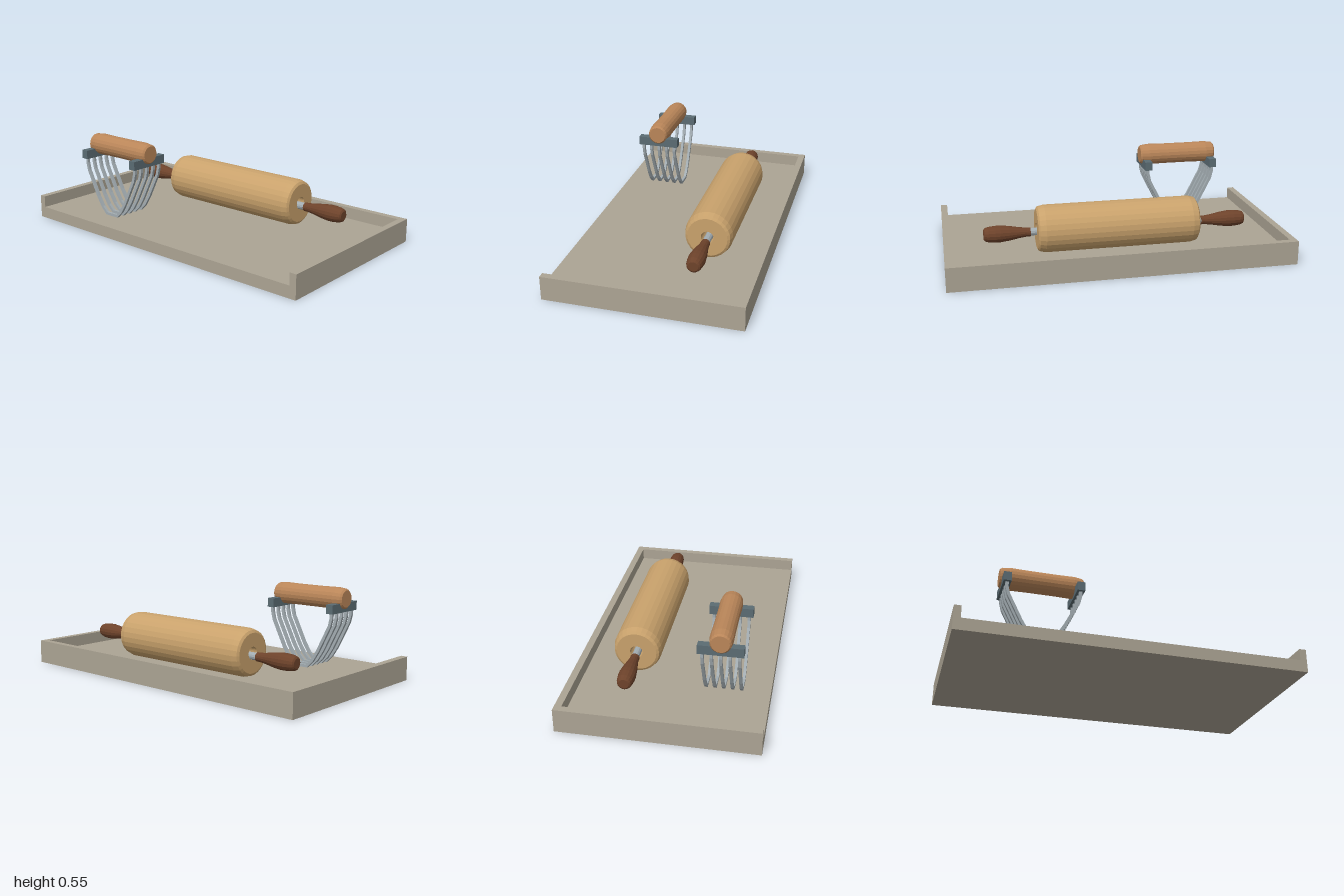
import * as THREE from 'three';

const mat = (color) => new THREE.MeshStandardMaterial({ color, flatShading: true });
const wood = mat(0xc9a26c), darkWood = mat(0x6e432b), gripWood = mat(0xba8659);
const steel = mat(0xa3adb2), bracketSteel = mat(0x5b6c73), stone = mat(0xaca494);

function add(parent, name, geometry, material, x = 0, y = 0, z = 0) {
  const mesh = new THREE.Mesh(geometry, material);
  mesh.name = name;
  mesh.position.set(x, y, z);
  parent.add(mesh);
  return mesh;
}

// Turned shape lying along x; points are [radius, x] with x increasing on the outside
function turned(points, sides) {
  return new THREE.LatheGeometry(points.map(([r, a]) => new THREE.Vector2(r, a)), sides).rotateZ(-Math.PI / 2);
}

const shapeOf = (points) => new THREE.Shape(points.map(([x, y]) => new THREE.Vector2(x, y)));

// Constant-thickness outline around an open 2D polyline
function stripShape(path, thickness) {
  const p = path.map(([x, y]) => new THREE.Vector2(x, y));
  const side = (s) => p.map((v, i) => {
    const before = v.clone().sub(p[Math.max(i - 1, 0)]).normalize();
    const after = p[Math.min(i + 1, p.length - 1)].clone().sub(v).normalize();
    const dir = before.add(after).normalize();
    return new THREE.Vector2(v.x - dir.y * s, v.y + dir.x * s);
  });
  return new THREE.Shape([...side(-thickness / 2), ...side(thickness / 2).reverse()]);
}

function makeTray() {
  const tray = new THREE.Group();
  tray.name = 'tray';
  const d = 0.555, w = 0.04;
  add(tray, 'trayFloor', new THREE.BoxGeometry(2, 0.07, 2 * d), stone, 0, 0.035, 0);
  // Rim on the back and both sides, open at the front
  const rim = shapeOf([[-1, -d], [-1 + w, -d], [-1 + w, d - w], [1 - w, d - w], [1 - w, -d], [1, -d], [1, d], [-1, d]]);
  const geometry = new THREE.ExtrudeGeometry(rim, { depth: 0.07, bevelEnabled: false }).rotateX(-Math.PI / 2);
  add(tray, 'trayRim', geometry, stone, 0, 0.07, 0);
  return tray;
}

function makeRollingPin() {
  const pin = new THREE.Group();
  pin.name = 'rollingPin';
  pin.position.set(-0.003, 0.208, -0.222);
  // Barrel with a bore through it
  const half = [[0.037, 0.474], [0.115, 0.474], [0.129, 0.465], [0.138, 0.43]];
  const barrel = [...half.map(([r, a]) => [r, -a]), ...half.reverse(), [0.037, -0.474]];
  add(pin, 'barrel', turned(barrel, 28), wood);
  // The axle rests on the bottom of the bore
  const axleY = -0.015;
  add(pin, 'axle', new THREE.CylinderGeometry(0.022, 0.022, 1.06, 12).rotateZ(Math.PI / 2), steel, 0, axleY, 0);
  const handle = [[0, 0.509], [0.026, 0.509], [0.026, 0.53], [0.031, 0.57], [0.042, 0.63], [0.048, 0.68],
    [0.048, 0.71], [0.044, 0.75], [0.038, 0.769], [0.028, 0.776], [0, 0.776]];
  for (const [name, turn] of [['leftHandle', 0], ['rightHandle', Math.PI]]) {
    add(pin, name, turned(handle, 16), darkWood, 0, axleY, 0).rotation.y = turn;
  }
  return pin;
}

function makePastryCutter() {
  const cutter = new THREE.Group();
  cutter.name = 'pastryCutter';
  cutter.position.set(-0.503, 0, 0.293);
  // Grip
  const half = [[0, 0.242], [0.05, 0.242], [0.059, 0.232], [0.065, 0.185], [0.063, 0.08]];
  const grip = [...half.map(([r, a]) => [r, -a]), ...half.reverse()];
  add(cutter, 'grip', turned(grip, 20), gripWood, 0, 0.481, 0);
  // Brackets holding the blades
  for (const s of [-1, 1]) {
    add(cutter, s > 0 ? 'leftBracket' : 'rightBracket', new THREE.BoxGeometry(0.044, 0.053, 0.25), bracketSteel, s * 0.209, 0.431, 0);
  }
  // Five bent blades side by side
  const bend = [[-0.209, 0.42], [-0.209, 0.375], [-0.198, 0.33], [-0.12, 0.175], [-0.082, 0.115], [-0.045, 0.079]];
  const path = [...bend, ...bend.map(([x, y]) => [-x, y]).reverse()];
  const blade = new THREE.ExtrudeGeometry(stripShape(path, 0.018), { depth: 0.016, bevelEnabled: false }).translate(0, 0, -0.008);
  for (let i = -2; i <= 2; i++) add(cutter, 'blade' + (i + 3), blade, steel, 0, 0, i * 0.05);
  return cutter;
}

export function createModel() {
  const model = new THREE.Group();
  model.name = 'bakingSet';
  model.add(makeTray(), makeRollingPin(), makePastryCutter());
  return model;
}
